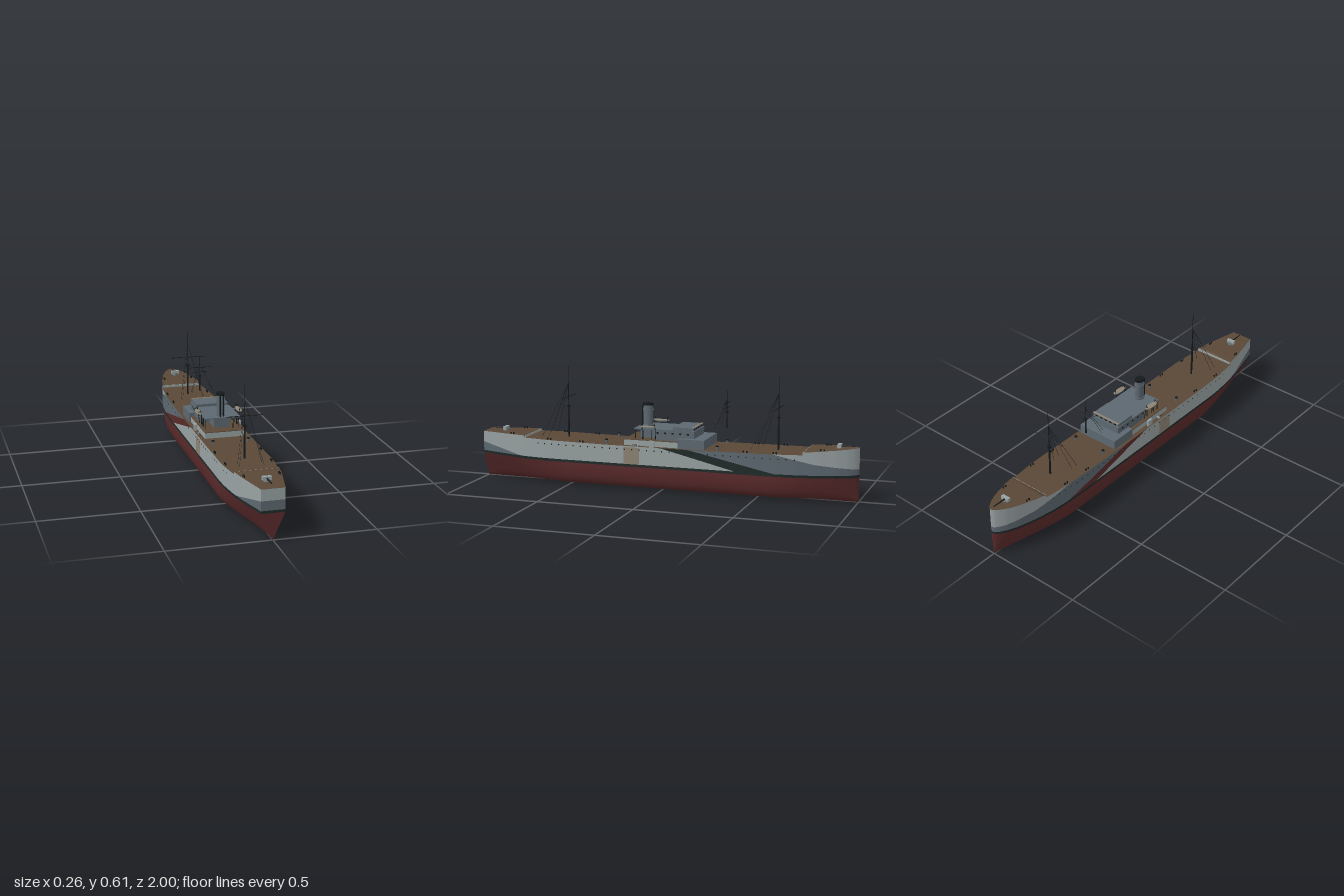
import * as THREE from 'three';

const mat = (name, color, side = THREE.FrontSide) => {
  const m = new THREE.MeshStandardMaterial({ color, side });
  m.name = name;
  return m;
};
const LIGHT = mat('light grey', 0x98a1a2), MID = mat('blue grey', 0x5c6870);
const DARK = mat('dark green', 0x1e2a29), RED = mat('hull red', 0x5a2a2b);
const BROWN = mat('deck brown', 0x5a4836), TAN = mat('tan', 0x8c8272), BLACK = mat('black', 0x14191b);

// Piecewise linear lookup through [position, value] points
function interp(pts, z) {
  if (z <= pts[0][0]) return pts[0][1];
  for (let i = 1; i < pts.length; i++) {
    const [a, va] = pts[i - 1], [b, vb] = pts[i];
    if (z <= b) return va + (vb - va) * (z - a) / (b - a);
  }
  return pts[pts.length - 1][1];
}

// Hull lines: the bow points to -z, the flat stern to +z
const PLAN = [[-1, 0], [-0.995, 0.012], [-0.98, 0.027], [-0.95, 0.047], [-0.9, 0.069], [-0.8, 0.097], [-0.7, 0.115],
  [-0.6, 0.124], [-0.5, 0.127], [0.55, 0.127], [0.62, 0.124], [0.72, 0.113], [0.82, 0.097], [1, 0.057]];
const FINE = [[-1, 0.5], [-0.6, 0], [0.5, 0], [0.75, 0.4], [1, 1]];
const full = y => y < 0.013 ? 0.71 * y / 0.013
  : 0.71 + 0.29 * Math.sqrt(1 - (1 - Math.min(1, (y - 0.013) / 0.09)) ** 2);
const halfWidth = (z, y) => interp(PLAN, z) * THREE.MathUtils.lerp(full(y), Math.min(1, y / 0.13), interp(FINE, z));
const deckY = z => z < -0.74 ? interp([[-1, 0.272], [-0.74, 0.251]], z)
  : z > 0.74 ? 0.246 : interp([[-0.74, 0.238], [-0.2, 0.23], [0.3, 0.23], [0.74, 0.235]], z);

// Paint borders, from keel to deck edge
const bootLow = z => interp([[0.75, 0.124], [1, 0.13]], z);
const bootTop = z => interp([[0.75, 0.137], [1, 0.143]], z);
const CAMO = [
  [[0.76, 0.137], [1, 0.19]],
  [[-0.4, 0.137], [0, 0.232], [0.02, 0.3]],
  [[-0.6, 0.137], [-0.13, 0.235], [-0.1, 0.3]],
  [[-1, 0.165], [-0.8, 0.19], [-0.57, 0.24], [-0.54, 0.3]]
];
const border = (n, z) => {
  let y = bootTop(z);
  for (let i = 0; i < n && i < 4; i++) y = Math.max(y, Math.min(deckY(z), interp(CAMO[i], z)));
  return n === 5 ? deckY(z) : y;
};
const STATIONS = [-0.995, -0.99, -0.97, -0.95, -0.7401, -0.7399, -0.57, -0.13, 0.7399, 0.7401];
for (let i = -50; i <= 50; i++) STATIONS.push(i / 50);
STATIONS.sort((a, b) => a - b);

// Smooth grid surface; fn(i, j) gives [x, y, z]
function surface(ni, nj, fn, flip) {
  const pos = [], idx = [], p = k => new THREE.Vector3().fromArray(pos, k * 3);
  for (let i = 0; i <= ni; i++) for (let j = 0; j <= nj; j++) pos.push(...fn(i, j));
  const tri = (a, b, c) => {
    if (new THREE.Triangle(p(a), p(b), p(c)).getArea() > 1e-9) idx.push(a, ...(flip ? [c, b] : [b, c]));
  };
  for (let i = 0; i < ni; i++) for (let j = 0; j < nj; j++) {
    const a = i * (nj + 1) + j, b = a + nj + 1;
    tri(a, b, b + 1);
    tri(a, b + 1, a + 1);
  }
  const g = new THREE.BufferGeometry();
  g.setAttribute('position', new THREE.Float32BufferAttribute(pos, 3));
  g.setIndex(idx);
  g.computeVertexNormals();
  return g;
}

export function createModel() {
  const ship = new THREE.Group();
  ship.name = 'ship';
  const add = (name, geo, m, x = 0, y = 0, z = 0, parent = ship) => {
    const mesh = new THREE.Mesh(geo, m);
    mesh.name = name;
    mesh.position.set(x, y, z);
    parent.add(mesh);
    return mesh;
  };
  // Box given by half width, bottom, top and z range
  const block = (name, m, hw, y0, y1, z0, z1, x = 0) =>
    add(name, new THREE.BoxGeometry(hw * 2, y1 - y0, z1 - z0), m, x, (y0 + y1) / 2, (z0 + z1) / 2);
  const rod = (name, m, a, b, r, r2 = r, sides = 8) => {
    const A = new THREE.Vector3(...a), d = new THREE.Vector3(...b).sub(A);
    const mesh = add(name, new THREE.CylinderGeometry(r2, r, d.length(), sides), m);
    mesh.position.copy(A).addScaledVector(d, 0.5);
    mesh.quaternion.setFromUnitVectors(new THREE.Vector3(0, 1, 0), d.normalize());
    return mesh;
  };

  // Hull sides, in painted bands
  const panel = (name, m, s, lo, hi, rows, zs = STATIONS, out = 0) =>
    add(name, surface(rows, zs.length - 1, (i, j) => {
      const z = zs[j], y = THREE.MathUtils.lerp(lo(z), hi(z), i / rows);
      return [s * (halfWidth(z, y) + out), y, z];
    }, s < 0), m);
  for (const s of [1, -1]) {
    panel('hullBottom', RED, s, () => 0, () => 0.013, 1);
    panel('hullBilge', RED, s, () => 0.013, bootLow, 12);
    panel('waterlineBand', DARK, s, bootLow, bootTop, 1);
    [MID, LIGHT, s > 0 ? DARK : RED, MID, LIGHT].forEach((m, n) =>
      panel('hullSidePaint', m, s, z => border(n, z), z => border(n + 1, z), 2));
    panel('tanPatch', TAN, s, bootTop, z => deckY(z) - 0.006, 1, [0.1, 0.14, 0.185], 0.0015);
    for (let z = -0.7; z < 0.7; z += 0.04) {
      const hole = add('porthole', new THREE.CircleGeometry(0.0035, 8), BLACK, s * (halfWidth(z, 0.213) + 0.002), 0.213, z);
      hole.rotation.y = s * Math.PI / 2;
    }
  }

  // Flat stern, in the same bands
  [[0, 0.13, RED], [0.13, 0.143, DARK], [0.143, 0.19, MID], [0.19, 0.246, LIGHT]].forEach(([lo, hi, m]) =>
    add('sternPlate', surface(1, 8, (i, j) => {
      const y = lo + (hi - lo) * j / 8;
      return [(i * 2 - 1) * halfWidth(1, y), y, 1];
    }), m));

  // Decks with the steps at forecastle and poop
  add('deck', surface(STATIONS.length - 1, 2, (i, j) => {
    const z = STATIONS[i];
    return [(j - 1) * halfWidth(z, 0.2), deckY(z), z];
  }), BROWN);
  block('forecastleBulkhead', LIGHT, 0.107, 0.23, 0.25, -0.741, -0.737);
  block('poopBulkhead', LIGHT, 0.107, 0.23, 0.2455, 0.737, 0.741);

  // Superstructure
  block('bridgeDeck', LIGHT, 0.104, 0.22, 0.259, -0.2, 0.19);
  block('bridgeDeckPlanks', BROWN, 0.105, 0.259, 0.262, -0.2, 0.191);
  block('lowerHouse', MID, 0.113, 0.225, 0.279, -0.238, -0.1);
  block('middleHouse', MID, 0.086, 0.26, 0.316, -0.178, 0.03);
  block('wheelhouse', MID, 0.082, 0.316, 0.332, -0.172, -0.065);
  block('wheelhouseTrim', TAN, 0.083, 0.332, 0.335, -0.176, -0.165);
  block('boatDeck', MID, 0.091, 0.312, 0.318, -0.065, 0.14);
  block('engineCasing', MID, 0.04, 0.26, 0.312, 0.03, 0.125);
  for (const s of [1, -1]) {
    for (const z of [0.05, 0.09, 0.133])
      rod('deckPost', BLACK, [s * 0.086, 0.26, z], [s * 0.086, 0.313, z], 0.002);
    for (let z = -0.15; z < 0.03; z += 0.04) block('houseWindow', BLACK, 0.001, 0.295, 0.303, z, z + 0.012, s * 0.0862);
  }
  for (let x = -0.06; x <= 0.061; x += 0.03) block('bridgeWindow', BLACK, 0.008, 0.32, 0.327, -0.1735, -0.1715, x);

  // Ladder up to the boat deck
  for (const x of [0.047, 0.053]) rod('ladderRail', BLACK, [x, 0.262, 0.15], [x, 0.318, 0.142], 0.001, 0.001, 5);
  for (let i = 1; i < 8; i++)
    rod('ladderRung', BLACK, [0.047, 0.262 + i * 0.007, 0.15 - i * 0.001], [0.053, 0.262 + i * 0.007, 0.15 - i * 0.001], 0.0008, 0.0008, 5);

  // Funnel with collar and dark mouth
  const funnel = new THREE.Group();
  funnel.name = 'funnel';
  funnel.position.z = 0.095;
  funnel.scale.z = 1.25;
  ship.add(funnel);
  const tube = (name, m, r, y0, y1) =>
    add(name, new THREE.CylinderGeometry(r, r, y1 - y0, 24), m, 0, (y0 + y1) / 2, 0, funnel);
  tube('funnelBase', MID, 0.024, 0.315, 0.325);
  tube('funnelTube', MID, 0.02, 0.32, 0.432);
  tube('funnelCollar', MID, 0.0235, 0.398, 0.404);
  tube('funnelRim', BLACK, 0.0215, 0.424, 0.435);
  for (const x of [-0.008, 0.008]) rod('steamPipe', BLACK, [x, 0.318, 0.123], [x, 0.425, 0.123], 0.003);

  // Lifeboats on davits: the lower half of a stretched ball, closed with a cover
  for (const s of [1, -1]) {
    const boat = new THREE.Group();
    boat.name = 'lifeboat';
    boat.position.set(s * 0.105, 0.334, 0.06);
    boat.scale.set(0.015, 0.012, 0.045);
    ship.add(boat);
    add('lifeboatHull', new THREE.SphereGeometry(1, 16, 8, 0, Math.PI * 2, Math.PI / 2, Math.PI / 2), LIGHT, 0, 0, 0, boat);
    add('lifeboatCover', new THREE.CircleGeometry(1, 16), TAN, 0, 0, 0, boat).rotation.x = -Math.PI / 2;
    for (const z of [0.025, 0.095]) {
      rod('davit', BLACK, [s * 0.09, 0.265, z], [s * 0.102, 0.35, z], 0.0018);
      rod('davitArm', BLACK, [s * 0.102, 0.35, z], [s * 0.115, 0.337, z], 0.0015);
    }
  }

  // Masts with yards, lookout rings and stays
  const mast = (z, y0, y1, yards, thick) => {
    const mid = y0 + (y1 - y0) * 0.45;
    rod('lowerMast', BLACK, [0, y0, z], [0, mid, z], thick, thick * 0.8);
    rod('topMast', BLACK, [0, mid, z], [0, y1, z], thick * 0.5, thick * 0.25);
    rod('lookoutRing', BLACK, [0, mid - 0.008, z], [0, mid, z], thick * 1.8);
    for (const [y, half] of yards) rod('yard', BLACK, [-half, y, z], [half, y, z], 0.0018);
    for (const s of [1, -1]) for (const dz of [0.09, 0.125])
      rod('stay', BLACK, [0, y1 - (y1 - y0) * 0.23, z], [s * 0.06, y0 + 0.005, z + dz * (y1 - y0) / 0.37], 0.0008, 0.0008, 4);
  };
  mast(0.535, 0.233, 0.605, [[0.445, 0.09], [0.395, 0.012]], 0.005);
  mast(-0.59, 0.235, 0.608, [[0.445, 0.09], [0.395, 0.012]], 0.005);
  mast(-0.323, 0.33, 0.52, [[0.457, 0.06], [0.432, 0.04]], 0.004);

  // Deck guns at both ends, and small ones on the sides
  const gun = (x, y, z, dir, size) => {
    const g = new THREE.Group();
    g.name = 'deckGun';
    g.position.set(x, y, z);
    g.scale.set(size, size, size * dir);
    ship.add(g);
    add('gunPedestal', new THREE.CylinderGeometry(0.012, 0.018, 0.012, 12), MID, 0, 0.006, 0, g);
    add('gunShield', new THREE.BoxGeometry(0.044, 0.017, 0.018), LIGHT, 0, 0.014, 0, g);
    add('gunBarrel', new THREE.CylinderGeometry(0.0025, 0.004, 0.08, 10), BLACK, 0, 0.014, 0.04, g).rotation.x = Math.PI / 2;
  };
  gun(0, 0.246, 0.895, 1, 1);
  gun(0, deckY(-0.9) - 0.001, -0.9, -1, 1);
  for (const s of [1, -1]) {
    gun(s * 0.114, 0.23, 0.11, 1, 0.4);
    block('sideLocker', LIGHT, 0.006, 0.228, 0.262, 0.02, 0.05, s * 0.116);
    // Ventilators and mooring bollards
    for (const z of [-0.3, 0.29]) {
      rod('ventilator', MID, [s * 0.09, 0.228, z], [s * 0.09, 0.248, z], 0.006);
      rod('ventilatorCap', BLACK, [s * 0.09, 0.248, z], [s * 0.09, 0.253, z], 0.008);
    }
    for (const z of [-0.83, -0.6, -0.45, 0.42, 0.6, 0.82])
      for (const dz of [-0.008, 0.008]) {
        const x = s * (halfWidth(z, 0.2) - 0.012);
        rod('bollard', BLACK, [x, deckY(z), z + dz], [x, deckY(z) + 0.009, z + dz], 0.004);
      }
  }
  return ship;
}
